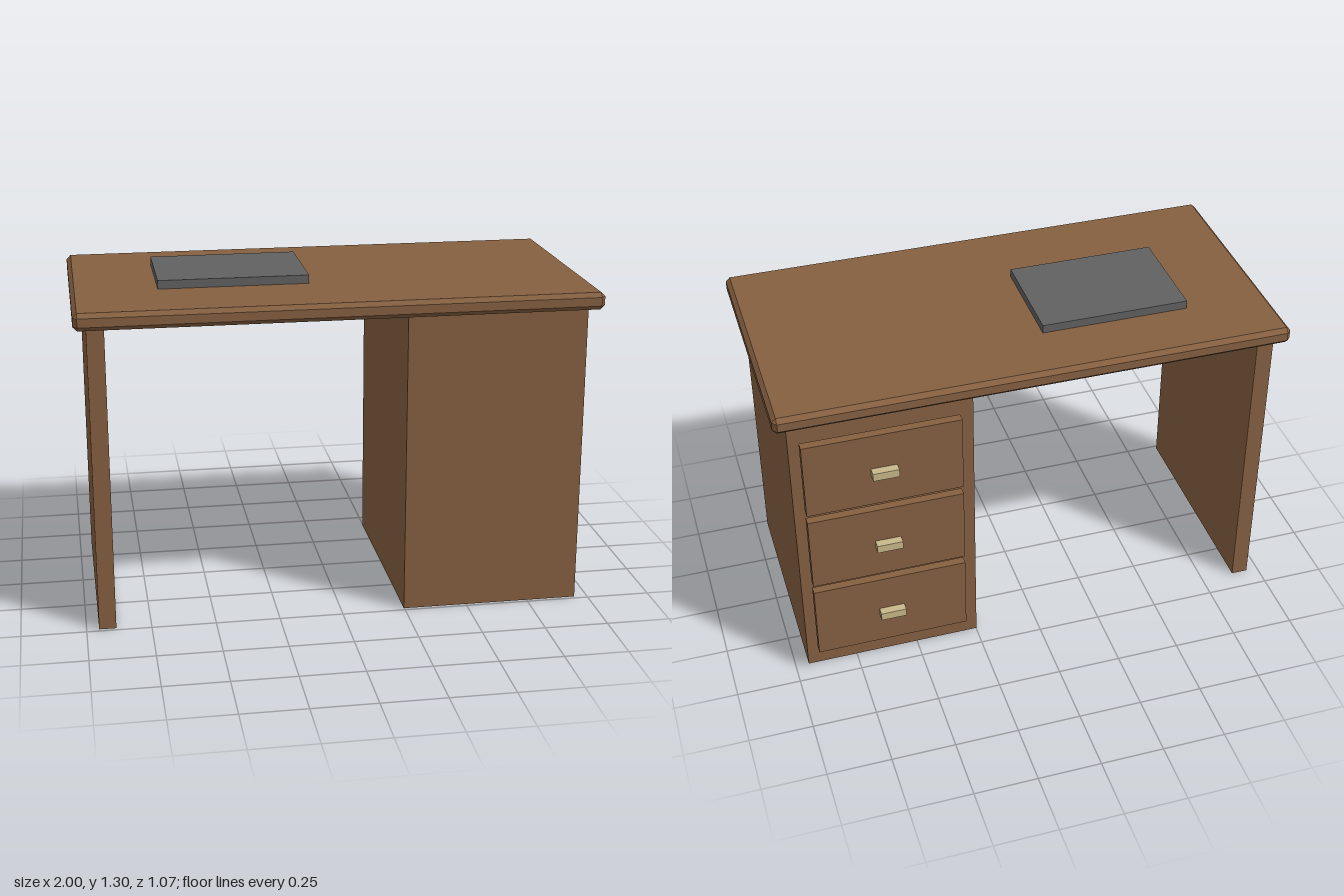
import * as THREE from 'three';
import { ConvexGeometry } from 'three/addons/geometries/ConvexGeometry.js';

const material = (name, color) => {
  const m = new THREE.MeshStandardMaterial({ color });
  m.name = name;
  return m;
};

// Box given by its minimum and maximum corners
function box(name, mat, [x0, y0, z0], [x1, y1, z1]) {
  const mesh = new THREE.Mesh(new THREE.BoxGeometry(x1 - x0, y1 - y0, z1 - z0), mat);
  mesh.position.set((x0 + x1) / 2, (y0 + y1) / 2, (z0 + z1) / 2);
  mesh.name = name;
  return mesh;
}

// Box with every edge and corner cut by a flat chamfer
function chamferedBox(w, h, d, c) {
  const points = [];
  const half = [w / 2, h / 2, d / 2];
  for (const sx of [-1, 1]) for (const sy of [-1, 1]) for (const sz of [-1, 1]) {
    for (let axis = 0; axis < 3; axis++) {
      const e = half.map((v, i) => (i === axis ? v : v - c));
      points.push(new THREE.Vector3(sx * e[0], sy * e[1], sz * e[2]));
    }
  }
  return new ConvexGeometry(points);
}

export function createModel() {
  const wood = material('wood', 0x866041);
  const grey = material('grey', 0x616161);
  const brass = material('brass', 0xc8b88a);

  const desk = new THREE.Group();
  desk.name = 'desk';

  // Chamfered top
  const top = new THREE.Mesh(chamferedBox(2, 0.067, 1, 0.0167), wood);
  top.position.set(0, 1.2333, 0.035);
  top.name = 'deskTop';
  desk.add(top);

  // Supports
  desk.add(box('sidePanel', wood, [-0.952, 0, -0.415], [-0.886, 1.2, 0.485]));
  desk.add(box('cabinet', wood, [0.248, 0, -0.415], [0.948, 1.2, 0.485]));

  // Drawer fronts stand clear of the cabinet, each with a small handle
  for (let i = 0; i < 3; i++) {
    const y = 0.134 + i * 0.35;
    const drawer = new THREE.Group();
    drawer.name = 'drawer' + (i + 1);
    drawer.add(box('drawerFront', wood, [0.313, y, -0.499], [0.913, y + 0.316, -0.465]));
    drawer.add(box('drawerHandle', brass, [0.563, y + 0.134, -0.532], [0.663, y + 0.167, -0.499]));
    desk.add(drawer);
  }

  // Flat pad on the top
  desk.add(box('deskPad', grey, [-0.668, 1.2667, -0.215], [-0.085, 1.3, 0.2]));
  return desk;
}
